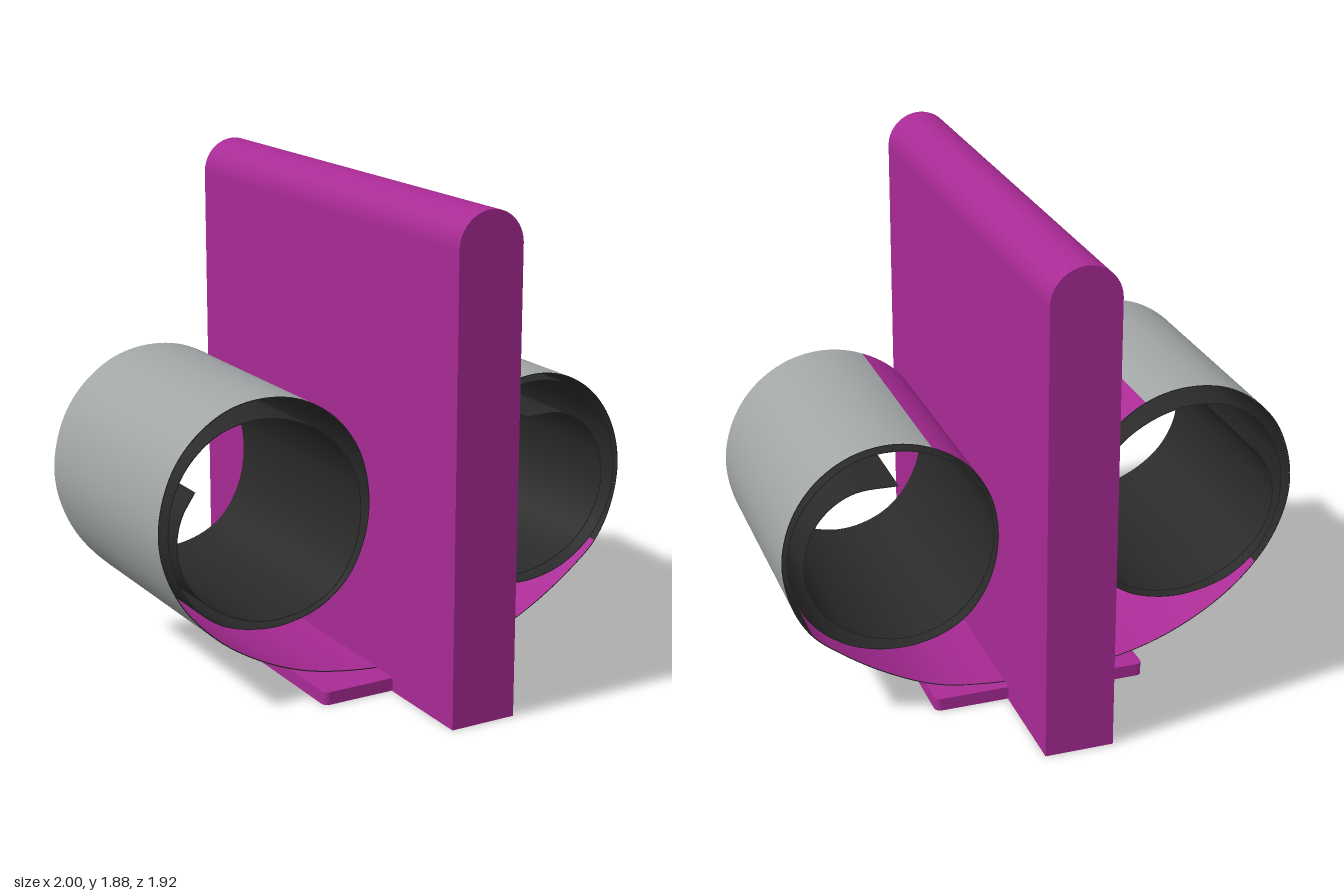
import * as THREE from 'three';

const mat = (name, color) => {
  const m = new THREE.MeshStandardMaterial({ color });
  m.name = name;
  return m;
};

// Ribbon along a curve; its two borders are given as [inset from the outer face, z]
function ribbon(curve, count, from, to, a, b, turn) {
  const n = Math.max(2, Math.ceil((to - from) * 6));
  const pos = [], idx = [];
  for (let i = 0; i <= n; i++) {
    const t = (from + (to - from) * i / n) / (count - 1);
    const p = curve.getPoint(t), d = curve.getTangent(t);
    for (const [inset, z] of turn > 0 ? [a, b] : [b, a]) {
      pos.push(p.x - d.y * inset * turn, p.y + d.x * inset * turn, z);
    }
    const k = i * 2;
    if (i < n) idx.push(k, k + 2, k + 1, k + 1, k + 2, k + 3);
  }
  const g = new THREE.BufferGeometry();
  g.setAttribute('position', new THREE.Float32BufferAttribute(pos, 3));
  g.setIndex(idx);
  g.computeVertexNormals();
  return g;
}

export function createModel() {
  const model = new THREE.Group();
  model.name = 'rolledSheetStand';
  const purple = mat('purple', 0xa82a94);
  const grey = mat('grey', 0xa1a5a5);
  const dark = mat('darkGrey', 0x292929);

  const add = (parent, name, geometry, material) => {
    const mesh = new THREE.Mesh(geometry, material);
    mesh.name = name;
    parent.add(mesh);
    return mesh;
  };

  // Upright panel with a half-round top, slotted below for the base plate
  const r = 0.131, cx = 0.026, top = 1.878, depth = 0.958, slotY = 0.056, slotZ = 0.545;
  const panel = new THREE.Shape();
  panel.moveTo(cx - r, slotY);
  panel.lineTo(cx + r, slotY);
  panel.lineTo(cx + r, top - r);
  panel.absarc(cx, top - r, r, 0, Math.PI, false);
  panel.closePath();
  const panelGeo = new THREE.ExtrudeGeometry(panel, { depth: depth * 2, bevelEnabled: false, curveSegments: 32 });
  panelGeo.translate(0, 0, -depth);
  add(model, 'uprightPanel', panelGeo, purple);
  for (const side of [-1, 1]) {
    const foot = add(model, 'panelFoot', new THREE.BoxGeometry(r * 2, slotY, depth - slotZ), purple);
    foot.position.set(cx, slotY / 2, side * (depth + slotZ) / 2);
  }

  // Base plate with small rounded corners
  const x0 = -0.393, x1 = 0.443, zh = 0.538, c = 0.025;
  const plate = new THREE.Shape();
  plate.absarc(x1 - c, zh - c, c, 0, Math.PI / 2);
  plate.absarc(x0 + c, zh - c, c, Math.PI / 2, Math.PI);
  plate.absarc(x0 + c, -zh + c, c, Math.PI, Math.PI * 1.5);
  plate.absarc(x1 - c, -zh + c, c, Math.PI * 1.5, Math.PI * 2);
  plate.closePath();
  const plateGeo = new THREE.ExtrudeGeometry(plate, { depth: 0.05, bevelEnabled: false, curveSegments: 6 });
  plateGeo.rotateX(-Math.PI / 2);
  add(model, 'basePlate', plateGeo, purple);

  // Spiral profiles, from the base outward and then inward
  const leftPath = [
    [0.02, 0.051], [0.2, 0.055], [0.42, 0.09], [0.62, 0.18], [0.8, 0.30], [0.9, 0.39],
    [0.97, 0.52], [1, 0.7], [0.96, 0.87], [0.87, 1], [0.74, 1.085], [0.59, 1.112],
    [0.44, 1.08], [0.3, 0.99], [0.21, 0.85], [0.18, 0.68], [0.215, 0.5], [0.3, 0.37],
    [0.42, 0.3], [0.57, 0.278], [0.74, 0.315], [0.88, 0.415], [0.96, 0.55], [0.98, 0.7],
    [0.94, 0.86], [0.85, 0.98], [0.73, 1.06], [0.59, 1.085], [0.44, 1.055], [0.31, 0.97],
    [0.22, 0.83], [0.197, 0.68], [0.23, 0.53], [0.32, 0.4], [0.43, 0.335], [0.56, 0.315],
    [0.72, 0.36], [0.84, 0.45], [0.91, 0.58], [0.92, 0.68], [0.89, 0.8], [0.82, 0.89],
    [0.72, 0.942], [0.56, 0.947],
  ];
  const rightPath = [
    [0.02, 0.051], [-0.15, 0.057], [-0.4, 0.1], [-0.6, 0.18], [-0.78, 0.3], [-0.92, 0.46],
    [-0.99, 0.63], [-0.997, 0.78], [-0.945, 0.95], [-0.85, 1.07], [-0.72, 1.15], [-0.57, 1.175],
    [-0.42, 1.148], [-0.28, 1.06], [-0.18, 0.92], [-0.14, 0.74], [-0.16, 0.58], [-0.23, 0.44],
    [-0.34, 0.35], [-0.46, 0.31], [-0.58, 0.303], [-0.75, 0.345], [-0.87, 0.44], [-0.94, 0.57],
    [-0.963, 0.7], [-0.94, 0.86], [-0.87, 0.98], [-0.75, 1.07], [-0.59, 1.1], [-0.44, 1.07],
    [-0.3, 0.985], [-0.2, 0.84], [-0.175, 0.7], [-0.2, 0.55], [-0.28, 0.42], [-0.4, 0.35],
    [-0.57, 0.33], [-0.72, 0.375], [-0.84, 0.46], [-0.91, 0.57], [-0.93, 0.68], [-0.91, 0.78],
    [-0.855, 0.87],
  ];

  // Each coil is a thin sheet: outer face, inner face and two edges, split by colour
  const thick = 0.004, back = -0.5, front = 0.43;
  const faces = {
    outer: [[0, back], [0, front]],
    frontEdge: [[0, front], [thick, front]],
    inner: [[thick, front], [thick, back]],
    backEdge: [[thick, back], [0, back]],
  };
  const coil = (name, path, turn, outerBands, innerTailEnd) => {
    const group = new THREE.Group();
    group.name = name;
    model.add(group);
    const curve = new THREE.CatmullRomCurve3(path.map(([x, y]) => new THREE.Vector3(x, y, 0)));
    const last = path.length - 1;
    const part = (label, face, from, to, material) => add(group, label,
      ribbon(curve, path.length, from, to, ...faces[face], turn), material);

    let start = 0;
    for (const [label, end, material] of [...outerBands, ['outerHidden', last, dark]]) {
      part(label, 'outer', start, end, material);
      start = end;
    }
    part('innerTail', 'inner', 0, innerTailEnd, purple);
    part('innerRoll', 'inner', innerTailEnd, last, dark);
    part('frontEdge', 'frontEdge', 0, last, dark);
    part('backEdge', 'backEdge', 0, last, dark);
  };
  coil('leftCoil', leftPath, 1, [
    ['outerTail', 2.05, purple], ['outerLower', 5.14, grey], ['outerSeam', 5.28, dark],
    ['outerRoll', 12.05, grey], ['outerWallSide', 20, purple],
  ], 5);
  coil('rightCoil', rightPath, -1, [
    ['outerTail', 2.05, purple], ['outerRoll', 12.2, grey], ['outerWallSide', 20, purple],
  ], 4.6);

  return model;
}
